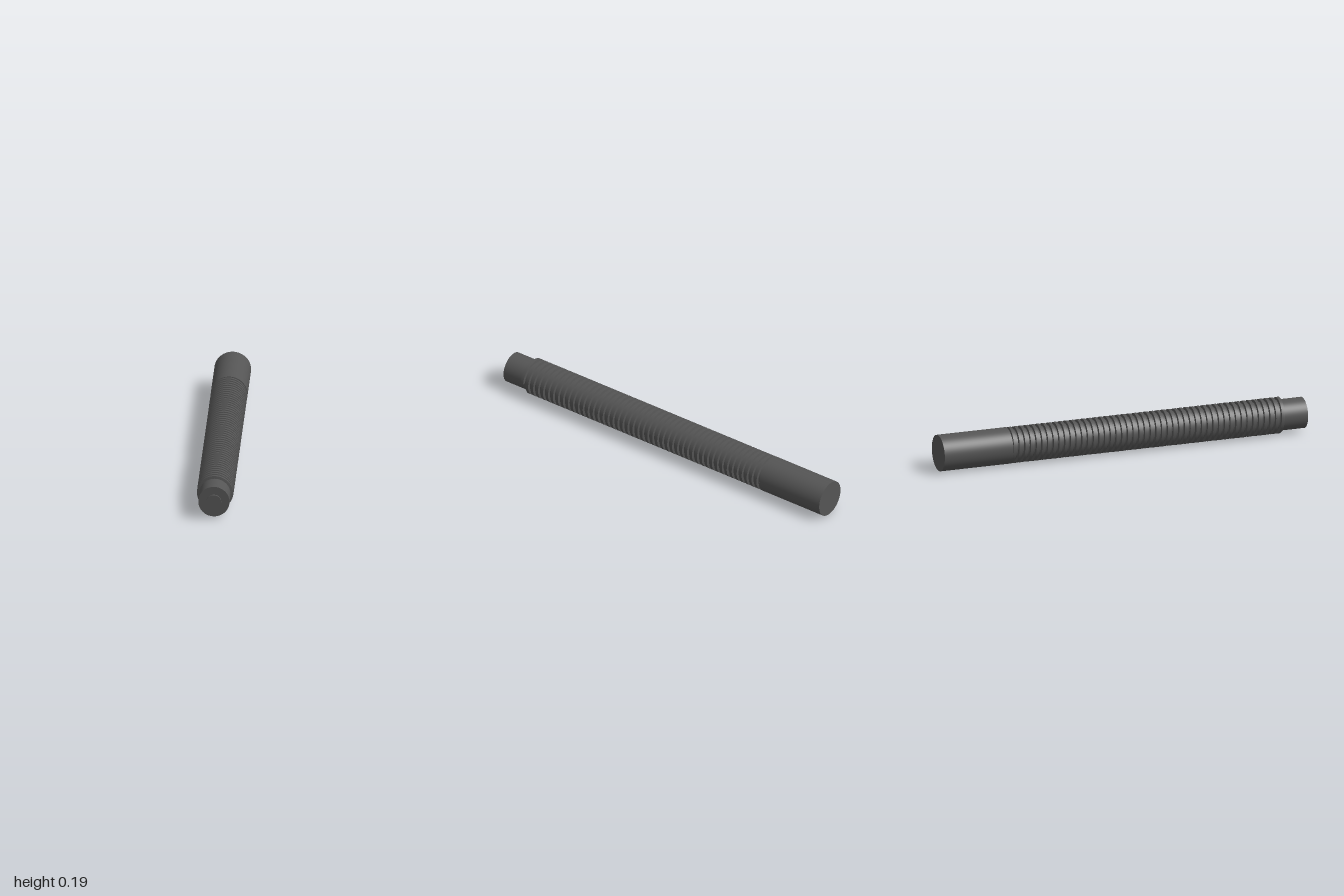
import * as THREE from 'three';

const AXIS_Y = 0.095;
const material = new THREE.MeshStandardMaterial({ color: 0x555555 });

// Solid cylinder along z between two positions
function rod(name, radius, z0, z1) {
  const geometry = new THREE.CylinderGeometry(radius, radius, z1 - z0, 64);
  geometry.rotateX(Math.PI / 2);
  geometry.translate(0, 0, (z0 + z1) / 2);
  const mesh = new THREE.Mesh(geometry, material);
  mesh.name = name;
  return mesh;
}

// Trapezoid ridge swept along a helix, with crisp edges and closed ends
function helixGeometry(zStart, zEnd, turns) {
  const segments = 48;
  const steps = turns * segments;
  const section = [[0.079, -0.0105], [0.0935, -0.008], [0.0935, 0.008], [0.079, 0.0105]];
  const positions = [];
  const indices = [];
  const addPoint = (step, [r, dz]) => {
    const a = (step / segments) * Math.PI * 2;
    const z = zStart + (zEnd - zStart) * (step / steps) + dz;
    positions.push(r * Math.cos(a), r * Math.sin(a), z);
  };

  // Rear flank, crest and front flank
  for (let side = 0; side < 3; side++) {
    const base = positions.length / 3;
    for (let i = 0; i <= steps; i++) {
      addPoint(i, section[side]);
      addPoint(i, section[side + 1]);
      if (i === steps) continue;
      const a = base + i * 2;
      indices.push(a, a + 2, a + 3, a, a + 3, a + 1);
    }
  }

  // End caps
  for (const step of [0, steps]) {
    const b = positions.length / 3;
    section.forEach((p) => addPoint(step, p));
    if (step === 0) indices.push(b, b + 1, b + 2, b, b + 2, b + 3);
    else indices.push(b, b + 2, b + 1, b, b + 3, b + 2);
  }

  const geometry = new THREE.BufferGeometry();
  geometry.setAttribute('position', new THREE.Float32BufferAttribute(positions, 3));
  geometry.setIndex(indices);
  geometry.computeVertexNormals();
  return geometry;
}

export function createModel() {
  const model = new THREE.Group();
  model.name = 'threadedRod';

  // Plain shank, threaded core with its narrow tip, and end boss
  model.add(rod('shank', 0.094, -1, -0.625));
  model.add(rod('coreAndTip', 0.08, -0.63, 0.99));
  model.add(rod('endBoss', 0.038, 0.985, 1));

  // Thread
  const thread = new THREE.Mesh(helixGeometry(0.865, -0.63, 48), material);
  thread.name = 'thread';
  model.add(thread);

  model.position.y = AXIS_Y;
  return model;
}
